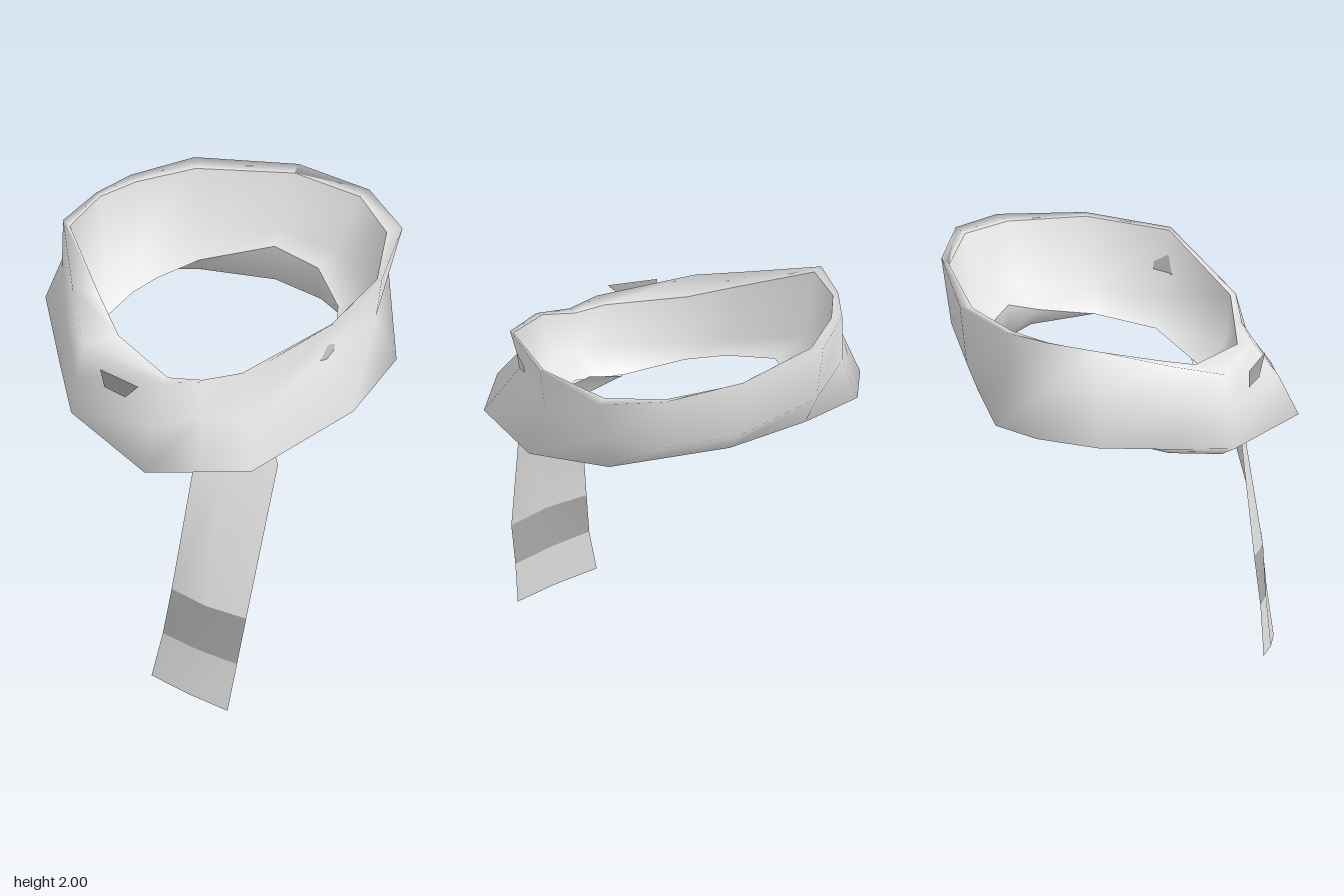
import * as THREE from 'three';

const wool = new THREE.MeshStandardMaterial({ color: 0xeeeeee, side: THREE.DoubleSide });
wool.name = 'light wool';
const stripe = new THREE.MeshStandardMaterial({ color: 0xaeaeae, side: THREE.DoubleSide });
stripe.name = 'dark stripe';

// Skins a grid of points: rows[i][j], rows run along the length, entries across it.
function skin(rows, closed) {
  const n = rows[0].length, m = rows.length, index = [];
  for (let i = 0; i < (closed ? m : m - 1); i++) {
    for (let j = 0; j < n - 1; j++) {
      const a = i * n + j, c = ((i + 1) % m) * n + j;
      index.push(a, a + 1, c, a + 1, c + 1, c);
    }
  }
  const g = new THREE.BufferGeometry();
  g.setAttribute('position', new THREE.Float32BufferAttribute(rows.flat(2), 3));
  g.setIndex(index);
  g.computeVertexNormals();
  return g;
}

function part(name, geometry, material) {
  const mesh = new THREE.Mesh(geometry, material);
  mesh.name = name;
  return mesh;
}

// Stations round the band, in degrees from the front towards the model's left
const angles = [13, 30, 47, 83, 113, 140, 160, 186, 221, 243, 258, 277, 305, 331];
// Outside at each station: radius, height of outer rim, middle, hem and underside
const outside = [
  [0.62, 1.62, 0.74, 1.45, 0.83, 1.26, 0.70, 1.19],
  [0.60, 1.64, 0.63, 1.47, 0.80, 1.28, 0.70, 1.24],
  [0.66, 1.70, 0.72, 1.50, 0.856, 1.31, 0.74, 1.29],
  [0.74, 1.89, 0.69, 1.69, 0.862, 1.47, 0.75, 1.46],
  [0.79, 1.93, 0.76, 1.72, 0.856, 1.50, 0.72, 1.49],
  [0.895, 1.95, 0.83, 1.72, 0.76, 1.52, 0.64, 1.49],
  [0.87, 1.99, 0.82, 1.70, 0.68, 1.55, 0.60, 1.50],
  [0.805, 2.00, 0.76, 1.68, 0.66, 1.55, 0.585, 1.50],
  [0.815, 1.97, 0.78, 1.68, 0.72, 1.53, 0.62, 1.49],
  [0.80, 1.94, 0.80, 1.70, 0.87, 1.50, 0.70, 1.49],
  [0.78, 1.93, 0.80, 1.70, 0.88, 1.49, 0.75, 1.49],
  [0.775, 1.91, 0.78, 1.70, 0.866, 1.47, 0.74, 1.47],
  [0.64, 1.76, 0.67, 1.58, 0.70, 1.37, 0.62, 1.32],
  [0.66, 1.65, 0.69, 1.48, 0.72, 1.30, 0.64, 1.25],
];
// Inside at each station: radius, height of lower edge, foot of the wall and inner rim
const inside = [
  [0.385, 1.32, 0.51, 1.42, 0.55, 1.61],
  [0.42, 1.34, 0.53, 1.44, 0.565, 1.63],
  [0.47, 1.38, 0.60, 1.48, 0.63, 1.70],
  [0.535, 1.47, 0.68, 1.56, 0.725, 1.88],
  [0.565, 1.52, 0.70, 1.60, 0.765, 1.92],
  [0.59, 1.58, 0.75, 1.66, 0.82, 1.94],
  [0.585, 1.67, 0.69, 1.73, 0.82, 1.97],
  [0.58, 1.68, 0.66, 1.74, 0.77, 1.97],
  [0.555, 1.58, 0.68, 1.66, 0.75, 1.95],
  [0.54, 1.53, 0.70, 1.60, 0.75, 1.93],
  [0.54, 1.50, 0.71, 1.57, 0.755, 1.92],
  [0.54, 1.47, 0.70, 1.55, 0.74, 1.89],
  [0.45, 1.40, 0.50, 1.46, 0.52, 1.74],
  [0.425, 1.34, 0.465, 1.41, 0.48, 1.65],
];

// Turns one station's radius, height pairs into points
function station(profile, i) {
  const t = THREE.MathUtils.degToRad(angles[i]);
  const points = [];
  for (let k = 0; k < profile.length; k += 2) {
    points.push([Math.sin(t) * profile[k], profile[k + 1], Math.cos(t) * profile[k]]);
  }
  return points;
}

// Hanging end, from the tucked top to the tip: right edge, middle, left edge
const tailRows = [
  [[0.12, 1.37, 0.30], [0.28, 1.40, 0.30], [0.45, 1.40, 0.24]],
  [[0.25, 1.14, 0.52], [0.40, 1.17, 0.49], [0.60, 1.21, 0.34]],
  [[0.19, 0.53, 0.60], [0.38, 0.505, 0.60], [0.57, 0.48, 0.55]],
  [[0.165, 0.30, 0.635], [0.35, 0.27, 0.62], [0.54, 0.24, 0.58]],
  [[0.12, 0.07, 0.66], [0.32, 0.035, 0.65], [0.515, 0, 0.62]],
];

// Swaps rows and columns so the sheet faces the front
const transpose = (rows) => rows[0].map((_, j) => rows.map((r) => r[j]));

export function createModel() {
  const group = new THREE.Group();
  group.name = 'scarf';

  // Wrapped neck band: the outside runs from the inner rim round the hem to the lower edge
  const outer = outside.map((p, i) => station([...inside[i].slice(4), ...p, ...inside[i].slice(0, 2)], i));
  group.add(part('bandOutside', skin(outer, true), wool));
  group.add(part('bandInside', skin(inside.map(station), true), wool));

  // Hanging end with one dark stripe
  const tail = new THREE.Group();
  tail.name = 'hangingEnd';
  tail.add(part('endUpper', skin(transpose(tailRows.slice(0, 3)), false), wool));
  tail.add(part('endStripe', skin(transpose(tailRows.slice(2, 4)), false), stripe));
  tail.add(part('endTip', skin(transpose(tailRows.slice(3, 5)), false), wool));
  group.add(tail);

  // Small dark patch tucked under the front rim
  const patch = [
    [[-0.17, 1.61, 0.655], [-0.15, 1.52, 0.65]],
    [[0.06, 1.61, 0.68], [-0.02, 1.52, 0.67]],
  ];
  group.add(part('frontPatch', skin(patch, false), stripe));
  return group;
}
